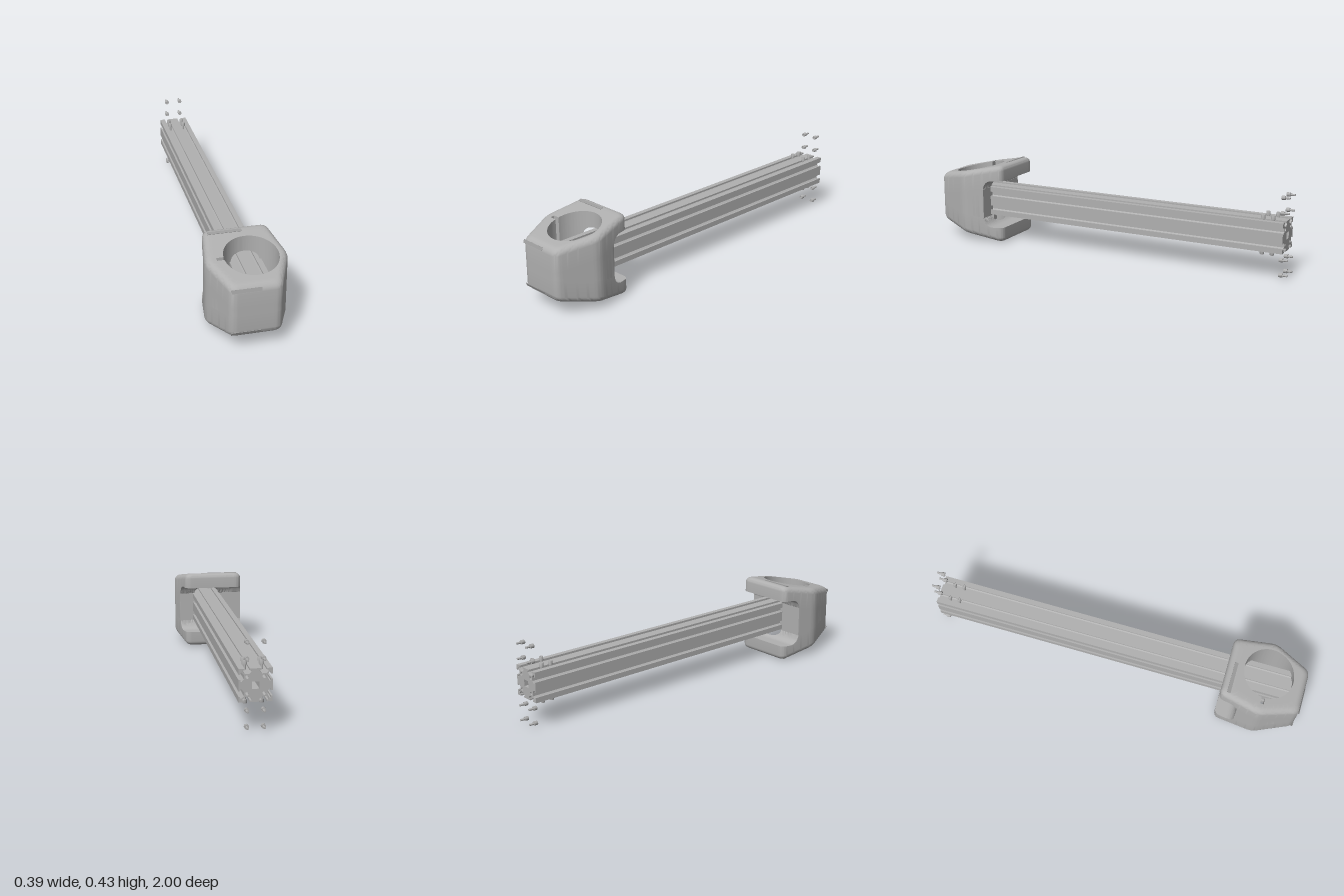
import * as THREE from 'three';
import { toCreasedNormals } from 'three/addons/utils/BufferGeometryUtils.js';

const CY = 0.2085, BAR_Y = 0.212, BAR_X = 0.024;   // centre heights and bar offset
const BORE = { x: 0.022, z: 0.8, r: 0.13 };
const SLOPE = 0.206, FILLET = 0.032, SLOT_Z = 0.69;

// Half height of the housing, and the height of the rear opening, along z
const halfHeight = z => 0.2085 - SLOPE * (z - 0.63);
function opening(z) {
  const r = 0.05, d = z - (SLOT_Z - r);
  if (d <= 0) return 0.13;
  if (d < r) return 0.13 - r + Math.sqrt(r * r - d * d);
  return 0.08 - 0.2 * (z - SLOT_Z);
}

// Rounded six-sided outline in (x, z), starting at the middle of the back
function outline(count) {
  const corners = [[-0.162, 0.585], [-0.199, 0.8], [-0.12, 0.998], [0.115, 0.998], [0.199, 0.8], [0.15, 0.585]]
    .map(c => new THREE.Vector2(...c));
  const path = new THREE.Path();
  path.moveTo(0, 0.585);
  corners.forEach((c, i) => {
    const before = i ? corners[i - 1] : new THREE.Vector2(0, 0.585);
    const after = i < 5 ? corners[i + 1] : new THREE.Vector2(0, 0.585);
    const step = to => c.clone().add(to.clone().sub(c).setLength(0.03));
    const a = step(before), b = step(after);
    path.lineTo(a.x, a.y);
    path.quadraticCurveTo(c.x, c.y, b.x, b.y);
  });
  path.lineTo(0, 0.585);
  return path.getSpacedPoints(count).slice(0, count);
}

// Bore point facing an outline point, with a narrow slit on one side
function borePoint(p) {
  const dx = p.x - BORE.x, dz = p.y - BORE.z;
  if (dx < 0 && Math.abs(dz) < 0.012) return new THREE.Vector2(-0.143, p.y);
  const k = BORE.r / Math.hypot(dx, dz);
  return new THREE.Vector2(BORE.x + dx * k, BORE.z + dz * k);
}

// Upper (side = 1) or lower (side = -1) ring of the housing
function ringGeometry(outer, inner, side) {
  const loops = outer.map((o, i) => {
    const n = inner[i], row = [];
    const add = (x, y, z) => row.push([x, CY + side * y, z]);
    for (let j = 0; j <= 12; j++) {                 // face towards the opening
      const p = n.clone().lerp(o, j / 12);
      add(p.x, opening(p.y), p.y);
    }
    let rim;
    for (let j = 0; j <= 6; j++) {                  // rounded rim
      const a = j / 6 * Math.PI / 2, k = 1 - FILLET * (1 - Math.cos(a)) / 0.19;
      rim = new THREE.Vector2(o.x * k, 0.8 + (o.y - 0.8) * k);
      add(rim.x, halfHeight(rim.y) - FILLET * (1 - Math.sin(a)), rim.y);
    }
    for (let j = 1; j <= 3; j++) {                  // sloping cap
      const p = rim.clone().lerp(n, j / 3);
      add(p.x, halfHeight(p.y), p.y);
    }
    return row;
  });
  const N = loops.length, M = loops[0].length, index = [];
  for (let i = 0; i < N; i++) for (let j = 0; j < M; j++) {
    const a = i * M + j, b = ((i + 1) % N) * M + j;
    const c = ((i + 1) % N) * M + (j + 1) % M, d = i * M + (j + 1) % M;
    if (side > 0) index.push(a, b, c, a, c, d);
    else index.push(a, c, b, a, d, c);
  }
  const g = new THREE.BufferGeometry();
  g.setAttribute('position', new THREE.Float32BufferAttribute(loops.flat(2), 3));
  g.setIndex(index);
  return toCreasedNormals(g, 0.6);
}

// Middle wall of the housing, open towards the back
function wallGeometry(outer, inner) {
  const clip = list => list.filter(p => p.y > SLOT_Z - 0.006)
    .map(p => new THREE.Vector2(p.x, -Math.max(p.y, SLOT_Z)));
  const shape = new THREE.Shape([...clip(outer), ...clip(inner).reverse()]);
  const g = new THREE.ExtrudeGeometry(shape, { depth: 1, bevelEnabled: false });
  g.rotateX(-Math.PI / 2);
  const p = g.attributes.position;
  for (let i = 0; i < p.count; i++) p.setY(i, CY + (2 * p.getY(i) - 1) * opening(p.getZ(i)));
  return toCreasedNormals(g, 0.6);
}

// Square bar profile with two T-slots on each side
function barGeometry(from, to) {
  const h = 0.077, c = h / 2, pts = [];
  const half = [[0.012, 0], [0.012, 0.008], [0.021, 0.008], [0.021, 0.014], [0.01, 0.024]];
  for (let s = 0; s < 4; s++) {
    const side = [[-h, -h]];
    for (const m of [-c, c]) {
      half.forEach(([w, d]) => side.push([m - w, d - h]));
      [...half].reverse().forEach(([w, d]) => side.push([m + w, d - h]));
    }
    side.forEach(([x, y]) => pts.push(new THREE.Vector2(x, y).rotateAround(new THREE.Vector2(), s * Math.PI / 2)));
  }
  const shape = new THREE.Shape(pts);
  for (const x of [-c, c]) for (const y of [-c, c])
    shape.holes.push(new THREE.Path().absarc(x, y, 0.0085, 0, Math.PI * 2, true));
  const q = 0.017;
  shape.holes.push(new THREE.Path([[-q, -q], [-q, q], [q, q], [q, -q]].map(v => new THREE.Vector2(...v))));
  const g = new THREE.ExtrudeGeometry(shape, { depth: to - from, bevelEnabled: false, curveSegments: 8 });
  return g.translate(BAR_X, BAR_Y, from);
}

export function createModel() {
  const model = new THREE.Group();
  model.name = 'bracketOnBar';
  const grey = new THREE.MeshStandardMaterial({ color: 0xb0b0b0 });
  grey.name = 'grey';
  const grooveGrey = new THREE.MeshStandardMaterial({ color: 0x9c9c9c });
  grooveGrey.name = 'grooveGrey';
  const add = (parent, name, geometry, material = grey) => {
    const mesh = new THREE.Mesh(geometry, material);
    mesh.name = name;
    parent.add(mesh);
    return mesh;
  };

  // Housing
  const housing = new THREE.Group();
  housing.name = 'housing';
  model.add(housing);
  const outer = outline(220), inner = outer.map(borePoint);
  add(housing, 'housingTop', ringGeometry(outer, inner, 1));
  add(housing, 'housingBottom', ringGeometry(outer, inner, -1));
  add(housing, 'housingWall', wallGeometry(outer, inner));

  // Strap slots on the caps and front edges
  for (const s of [1, -1]) {
    const cap = add(housing, 'capSlot', new THREE.BoxGeometry(0.165, 0.004, 0.018), grooveGrey);
    cap.position.set(-0.062, CY + s * halfHeight(0.627), 0.627);
    cap.rotation.x = s * Math.atan(SLOPE);
    const front = add(housing, 'frontSlot', new THREE.BoxGeometry(0.14, 0.017, 0.004), grooveGrey);
    front.position.set(-0.05, CY + s * 0.113, 0.994);
    front.rotation.x = -s * 0.4;
  }

  // Slotted bar
  add(model, 'slottedBar', barGeometry(-0.98, 0.955));

  // Socket screws: tip at the origin, head up
  const screwProfile = [[0, 0], [0.0055, 0.002], [0.0055, 0.026], [0.0105, 0.026], [0.0105, 0.043],
    [0.0095, 0.045], [0.005, 0.045], [0.005, 0.036], [0, 0.036]].map(p => new THREE.Vector2(...p));
  const screwGeometry = toCreasedNormals(new THREE.LatheGeometry(screwProfile, 16), 0.6);
  const screws = new THREE.Group();
  screws.name = 'screws';
  model.add(screws);
  for (const x of [BAR_X - 0.0385, BAR_X + 0.0385]) for (const s of [1, -1]) {
    for (const z of [-0.865, -0.916]) {
      const screw = add(screws, 'slotScrew', screwGeometry);
      screw.position.set(x, BAR_Y + s * 0.055, z);
      if (s < 0) screw.rotation.x = Math.PI;
    }
    for (const dy of [0.118, 0.195]) {
      const screw = add(screws, 'endScrew', screwGeometry);
      screw.position.set(x, BAR_Y + s * dy, -1);
      screw.rotation.x = Math.PI / 2;
    }
  }
  return model;
}
